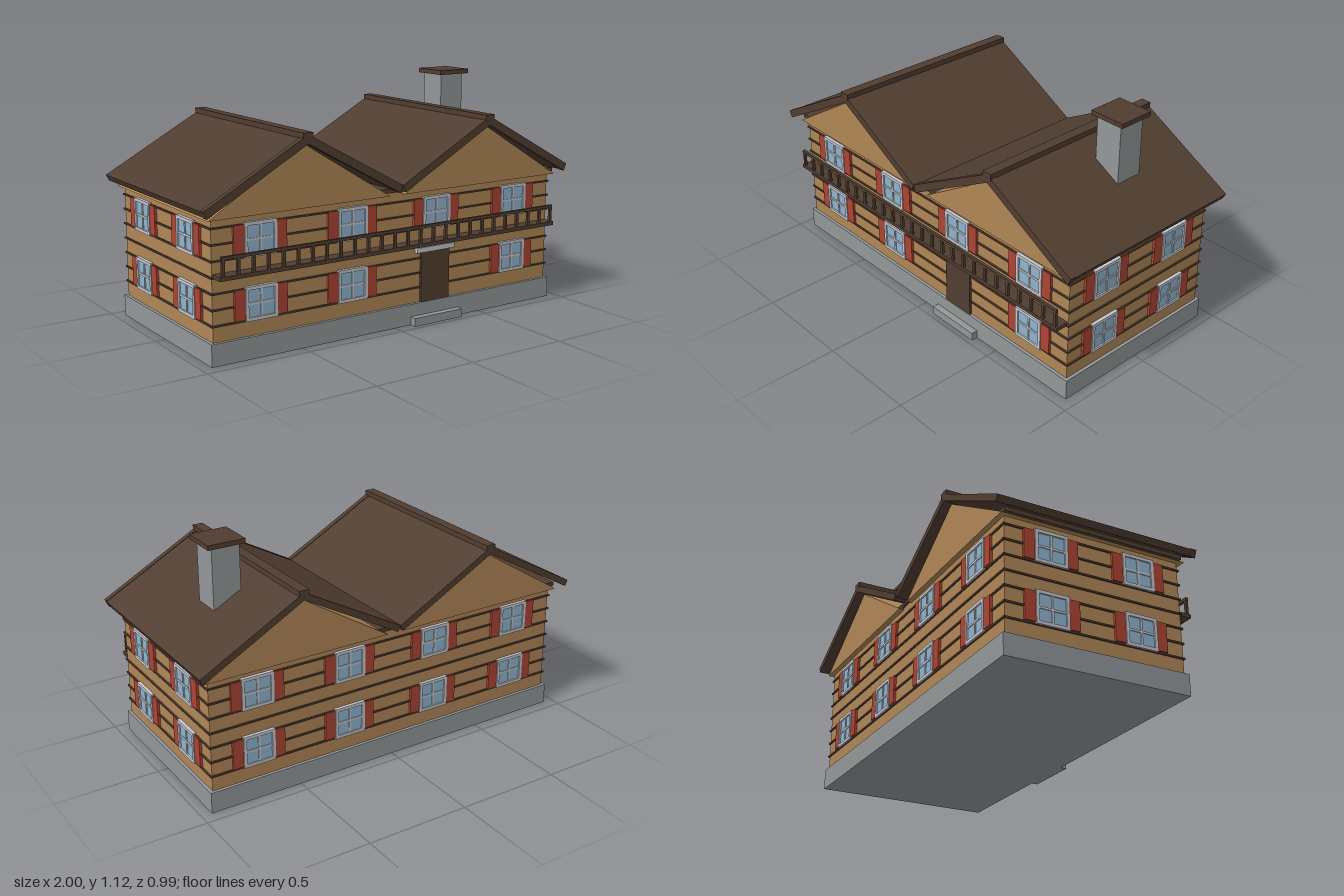
import * as THREE from 'three';

const mat = (name, color) => {
  const m = new THREE.MeshStandardMaterial({ color });
  m.name = name;
  return m;
};

export function createModel() {
  const wood = mat('warm timber', 0xb08656);
  const dark = mat('dark timber', 0x503d30);
  const stone = mat('grey stone', 0x939799);
  const red = mat('shutter red', 0xad4434);
  const glass = mat('window glass', 0x8fb4cf);
  const trim = mat('pale trim', 0xc3c6cd);

  const house = new THREE.Group();
  house.name = 'house';

  // Box given by its minimum and maximum corners
  const box = (name, material, [x0, y0, z0], [x1, y1, z1], parent = house) => {
    const mesh = new THREE.Mesh(new THREE.BoxGeometry(x1 - x0, y1 - y0, z1 - z0), material);
    mesh.position.set((x0 + x1) / 2, (y0 + y1) / 2, (z0 + z1) / 2);
    mesh.name = name;
    parent.add(mesh);
    return mesh;
  };

  // Outline in x and y, extruded from z0 to z1
  const prism = (name, material, points, x, z0, z1) => {
    const shape = new THREE.Shape(points.map(([px, py]) => new THREE.Vector2(px, py)));
    const geometry = new THREE.ExtrudeGeometry(shape, { depth: z1 - z0, bevelEnabled: false });
    const mesh = new THREE.Mesh(geometry, material);
    mesh.position.set(x, 0, z0);
    mesh.name = name;
    house.add(mesh);
  };

  // Base and walls
  box('foundation', stone, [-0.95, 0, -0.445], [0.95, 0.1, 0.445]);
  box('doorStep', stone, [0.09, 0, 0.44], [0.37, 0.04, 0.477]);
  box('walls', wood, [-0.935, 0.1, -0.43], [0.935, 0.645, 0.43]);
  for (let i = 0; i < 7; i++) {
    const y = 0.172 + i * 0.07;
    box('logSeam', dark, [-0.942, y - 0.004, -0.437], [0.942, y + 0.004, 0.437]);
  }
  box('wallPlate', dark, [-0.96, 0.64, -0.44], [0.96, 0.66, 0.44]);

  // Twin gables and roofs
  const roofProfile = (lift) => [
    [-0.5, 0.68 + lift], [-0.485, 0.652 - lift], [0, 0.917 - lift],
    [0.485, 0.652 - lift], [0.5, 0.68 + lift], [0, 0.952 + lift],
  ];
  for (const x of [-0.5, 0.5]) {
    prism('gable', wood, [[-0.46, 0.63], [0.46, 0.63], [0, 0.912]], x, -0.455, 0.455);
    prism('roof', dark, roofProfile(0), x, -0.495, 0.47);
    prism('bargeBoard', dark, roofProfile(0.003), x, 0.47, 0.497);
    box('ridgeCap', dark, [x - 0.025, 0.93, -0.496], [x + 0.025, 0.963, 0.498]);
  }

  // Chimney
  box('chimney', stone, [0.625, 0.75, -0.168], [0.76, 1.1, -0.03]);
  box('chimneyCap', dark, [0.605, 1.098, -0.188], [0.785, 1.12, -0.01]);

  // Window with shutters, facing +z, origin on the wall surface
  const addWindow = (x, y, z, turn) => {
    const w = new THREE.Group();
    w.name = 'window';
    box('glass', glass, [-0.07, -0.066, 0], [0.07, 0.066, 0.009], w);
    for (const s of [-1, 1]) {
      box('frameSide', trim, [s * 0.071 - 0.0075, -0.076, 0], [s * 0.071 + 0.0075, 0.076, 0.016], w);
      box('frameRail', trim, [-0.0785, s * 0.0685 - 0.0075, 0], [0.0785, s * 0.0685 + 0.0075, 0.016], w);
      box('shutter', red, [s * 0.104 - 0.0255, -0.068, 0], [s * 0.104 + 0.0255, 0.068, 0.012], w);
    }
    box('mullion', trim, [-0.005, -0.066, 0], [0.005, 0.066, 0.013], w);
    box('crossbar', trim, [-0.066, -0.005, 0], [0.066, 0.005, 0.013], w);
    w.position.set(x, y, z);
    w.rotation.y = turn;
    house.add(w);
  };
  for (const y of [0.246, 0.526]) {
    for (const x of [-0.705, -0.235, 0.235, 0.705]) {
      const doorway = x === 0.235 && y < 0.4;
      if (!doorway) addWindow(x, y, 0.43, 0);
      addWindow(x, y, -0.43, Math.PI);
    }
    for (const z of [-0.215, 0.215]) {
      addWindow(0.935, y, z, Math.PI / 2);
      addWindow(-0.935, y, z, -Math.PI / 2);
    }
  }

  // Door
  box('door', dark, [0.15, 0.1, 0.43], [0.316, 0.342, 0.441]);
  box('doorLintel', trim, [0.12, 0.34, 0.43], [0.34, 0.364, 0.449]);

  // Balcony
  box('balconyFloor', dark, [-0.93, 0.38, 0.43], [0.93, 0.398, 0.493]);
  box('balconyRail', dark, [-0.92, 0.469, 0.479], [0.92, 0.483, 0.493]);
  for (let i = 0; i < 26; i++) {
    const x = -0.912 + i * 0.07296;
    box('baluster', dark, [x - 0.007, 0.39, 0.48], [x + 0.007, 0.475, 0.492]);
  }

  return house;
}
